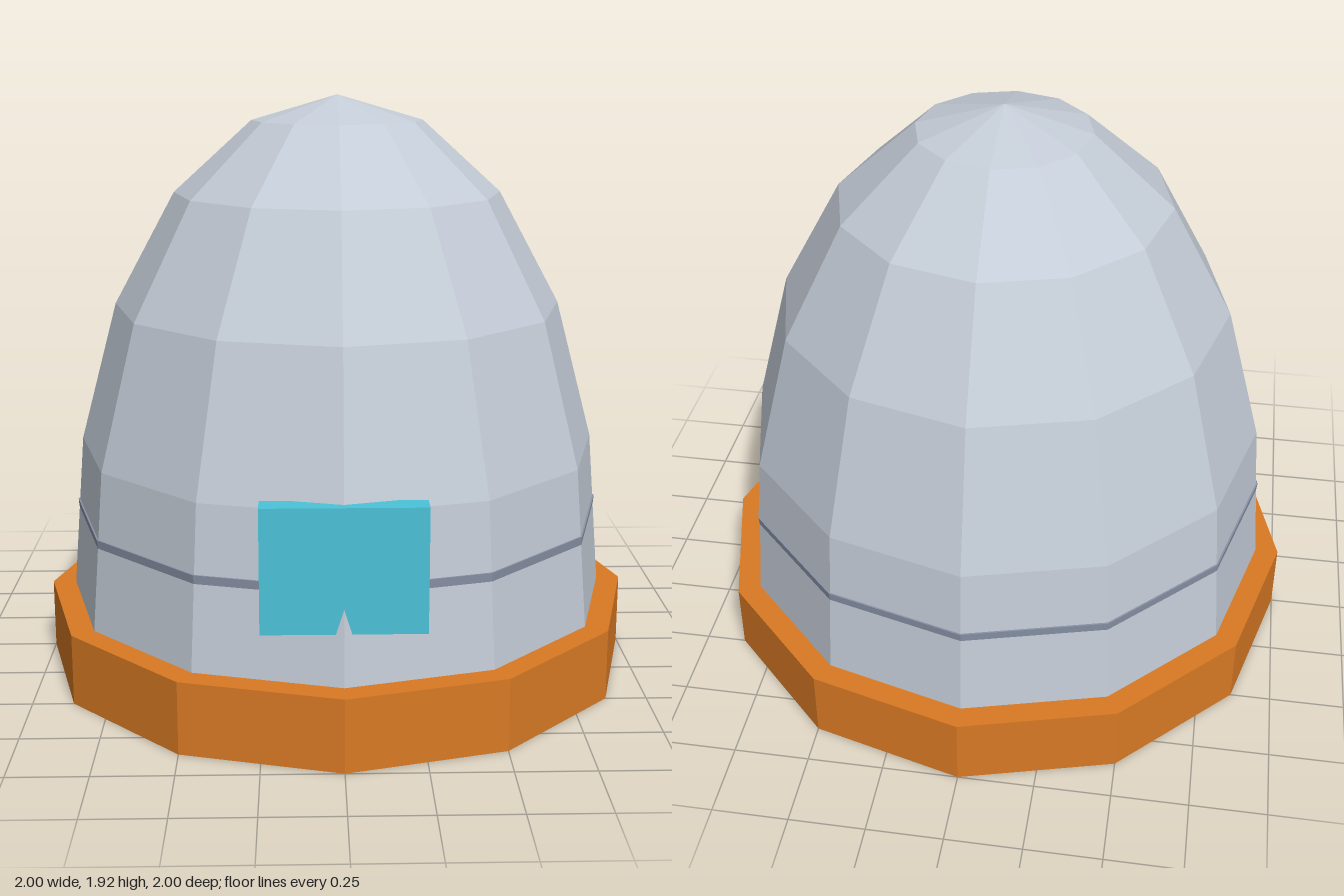
import * as THREE from 'three';

const SIDES = 12;

function material(name, color) {
  const m = new THREE.MeshStandardMaterial({ color, flatShading: true });
  m.name = name;
  return m;
}

export function createModel() {
  const orange = material('orange', 0xd97a24);
  const paleGrey = material('pale grey', 0xc4ccd7);
  const slate = material('slate', 0x8a94a8);
  const cyan = material('cyan', 0x4cc3d9);

  const model = new THREE.Group();
  model.name = 'domedCapsule';
  const add = (name, geometry, mat, y = 0, z = 0) => {
    const mesh = new THREE.Mesh(geometry, mat);
    mesh.name = name;
    mesh.position.set(0, y, z);
    model.add(mesh);
  };

  // Twelve-sided foot ring
  add('base', new THREE.CylinderGeometry(1, 1, 0.235, SIDES), orange, 0.1175);

  // Faceted dome, its lower edge sunk into the base
  const profile = [
    [0.928, 0.15], [0.921, 0.235], [0.877, 0.76], [0.75, 1.23],
    [0.545, 1.605], [0.284, 1.842], [0, 1.925],
  ].map(([r, y]) => new THREE.Vector2(r, y));
  add('dome', new THREE.LatheGeometry(profile, SIDES), paleGrey);

  // Narrow seam band standing just proud of the dome
  add('seamBand', new THREE.CylinderGeometry(0.901, 0.8985, 0.028, SIDES), slate, 0.526);

  // Front window; the dome's front ridge breaks through its lower edge
  add('window', new THREE.BoxGeometry(0.5, 0.39, 0.075), cyan, 0.591, 0.8635);

  return model;
}
